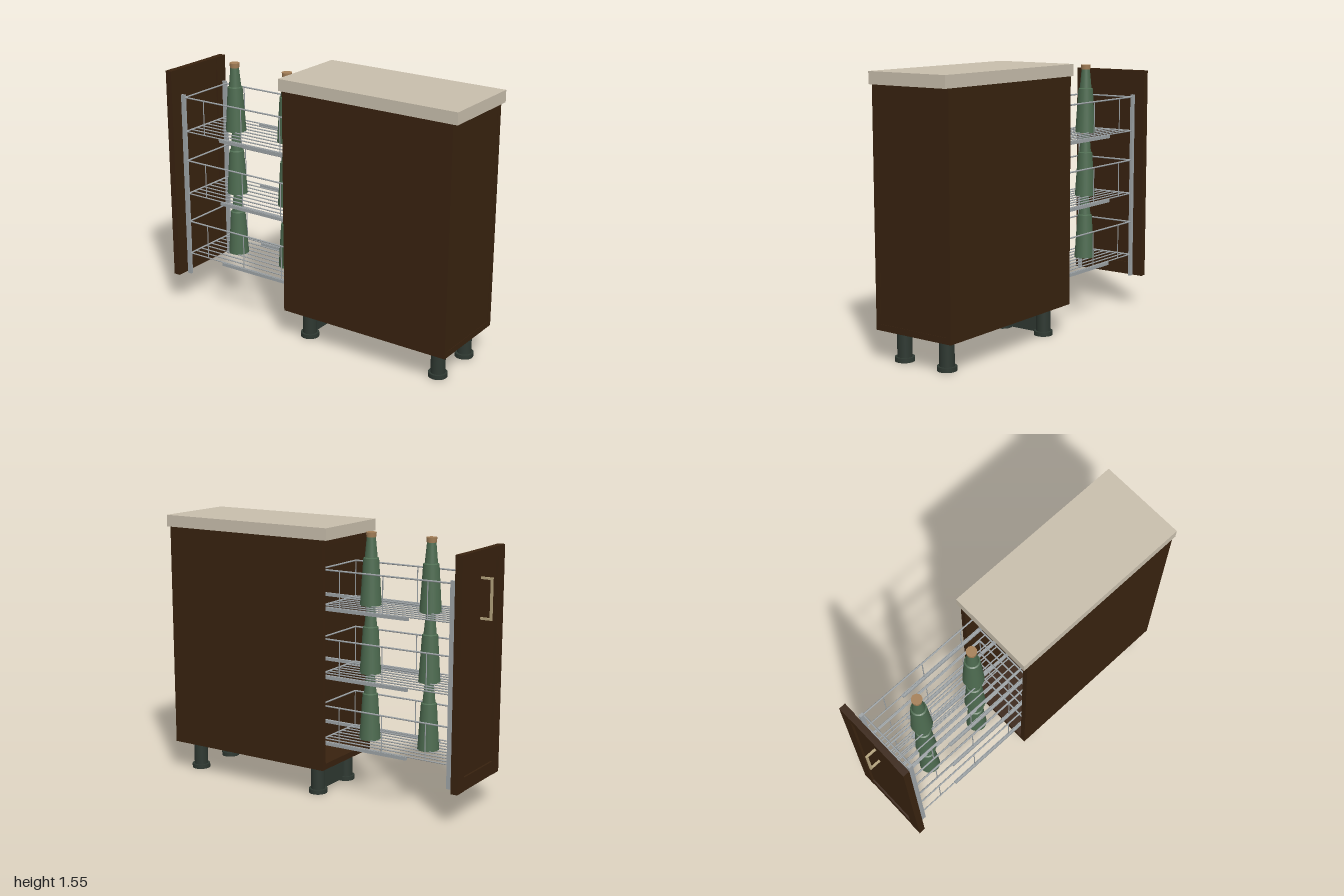
import * as THREE from 'three';

const mat = (name, color) => {
  const m = new THREE.MeshStandardMaterial({ color });
  m.name = name;
  return m;
};

export function createModel() {
  const wood = mat('dark wood', 0x38220f);
  const stone = mat('beige worktop', 0xc8beac);
  const plastic = mat('dark plastic', 0x2e3831);
  const metal = mat('grey metal', 0x9da3a6);
  const glass = mat('green glass', 0x4d6b50);
  const cork = mat('cork', 0xa58058);
  const brass = mat('handle metal', 0xb3a27c);

  const model = new THREE.Group();
  model.name = 'pullOutCabinet';
  const group = (name, parent = model) => {
    const g = new THREE.Group();
    g.name = name;
    parent.add(g);
    return g;
  };
  const add = (parent, name, geometry, material, x = 0, y = 0, z = 0) => {
    const m = new THREE.Mesh(geometry, material);
    m.name = name;
    m.position.set(x, y, z);
    parent.add(m);
    return m;
  };
  // Box given by its lower and upper limits
  const box = (parent, name, material, x0, x1, y0, y1, z0, z1) =>
    add(parent, name, new THREE.BoxGeometry(x1 - x0, y1 - y0, z1 - z0), material,
      (x0 + x1) / 2, (y0 + y1) / 2, (z0 + z1) / 2);
  // Round bar between two points
  const rod = (parent, name, material, a, b, r) => {
    const p = new THREE.Vector3(...a), q = new THREE.Vector3(...b);
    const d = q.clone().sub(p);
    const m = add(parent, name, new THREE.CylinderGeometry(r, r, d.length(), 8), material);
    m.position.copy(p).add(q).multiplyScalar(0.5);
    m.quaternion.setFromUnitVectors(new THREE.Vector3(0, 1, 0), d.normalize());
    return m;
  };

  // Cabinet, open towards -z
  const cabinet = group('cabinet');
  box(cabinet, 'bottomPanel', wood, -0.257, 0.257, 0.175, 0.21, -0.095, 0.975);
  box(cabinet, 'topPanel', wood, -0.257, 0.257, 1.455, 1.487, -0.095, 0.975);
  for (const s of [-1, 1])
    box(cabinet, 'sidePanel', wood, s * 0.241 - 0.016, s * 0.241 + 0.016, 0.21, 1.455, -0.095, 0.975);
  box(cabinet, 'endPanel', wood, -0.225, 0.225, 0.21, 1.455, 0.943, 0.973);
  box(model, 'worktop', stone, -0.257, 0.257, 1.487, 1.555, -0.12, 1.0);

  // Legs and plinth
  const base = group('base');
  for (const x of [-0.147, 0.147]) for (const z of [0.01, 0.875]) {
    add(base, 'leg', new THREE.CylinderGeometry(0.041, 0.041, 0.155, 24), plastic, x, 0.0975, z);
    add(base, 'foot', new THREE.CylinderGeometry(0.054, 0.054, 0.025, 24), plastic, x, 0.0125, z);
  }
  box(base, 'plinth', plastic, -0.185, 0.185, 0.013, 0.163, 0.0, 0.02);

  // Framed door with a recessed panel
  const door = group('door');
  for (const s of [-1, 1])
    box(door, 'stile', wood, s * 0.2085 - 0.0385, s * 0.2085 + 0.0385, 0.19, 1.475, -0.945, -0.905);
  box(door, 'bottomRail', wood, -0.17, 0.17, 0.19, 0.267, -0.943, -0.907);
  box(door, 'topRail', wood, -0.17, 0.17, 1.398, 1.475, -0.943, -0.907);
  box(door, 'panel', wood, -0.17, 0.17, 0.267, 1.398, -0.932, -0.915);

  // Handle
  const handle = group('handle', door);
  box(handle, 'grip', brass, -0.006, 0.006, 1.1, 1.33, -1.0, -0.988);
  for (const y of [1.106, 1.324])
    box(handle, 'post', brass, -0.006, 0.006, y - 0.006, y + 0.006, -0.988, -0.93);

  // Pull-out frame behind the door
  const pullOut = group('pullOut');
  for (const s of [-1, 1])
    box(pullOut, 'upright', metal, s * 0.19 - 0.008, s * 0.19 + 0.008, 0.195, 1.33, -0.878, -0.852);

  // Bottle profile: tapered body, shoulder step, tapered neck
  const profile = [[0, 0], [0.061, 0], [0.044, 0.265], [0.036, 0.27], [0.025, 0.385], [0, 0.385]];
  const bottlePoints = profile.flatMap(([r, y]) =>
    r > 0 ? [new THREE.Vector2(r, y), new THREE.Vector2(r, y)] : [new THREE.Vector2(r, y)]);
  const bottleGeometry = new THREE.LatheGeometry(bottlePoints, 24);

  // Three wire baskets with slides and bottles
  const zOuter = -0.855, zInner = -0.03, w = 0.19;
  for (const y of [0.33, 0.717, 1.107]) {
    const basket = group('basket', pullOut);
    const rim = y + 0.208;
    for (let i = -4; i <= 4; i++) {
      const x = i * w / 4;
      rod(basket, 'floorWire', metal, [x, y, zOuter], [x, y, zInner], 0.004);
    }
    for (const z of [zOuter, zInner]) {
      rod(basket, 'floorEnd', metal, [-w, y, z], [w, y, z], 0.005);
      rod(basket, 'rimEnd', metal, [-w, rim, z], [w, rim, z], 0.005);
    }
    for (const s of [-1, 1]) {
      rod(basket, 'rimSide', metal, [s * w, rim, zOuter], [s * w, rim, zInner], 0.005);
      for (const z of [-0.715, -0.44, -0.163, zInner])
        rod(basket, 'sideWire', metal, [s * w, y, z], [s * w, rim, z], 0.003);
      box(basket, 'slide', metal, s * 0.19 - 0.009, s * 0.19 + 0.009, y - 0.02, y - 0.001, -0.6, 0.4);
    }
    for (const z of [-0.25, -0.63]) {
      const bottle = group('bottle', basket);
      bottle.position.set(0, y, z);
      add(bottle, 'glassBody', bottleGeometry, glass);
      add(bottle, 'stopper', new THREE.CylinderGeometry(0.03, 0.027, 0.028, 24), cork, 0, 0.396, 0);
    }
  }
  return model;
}
